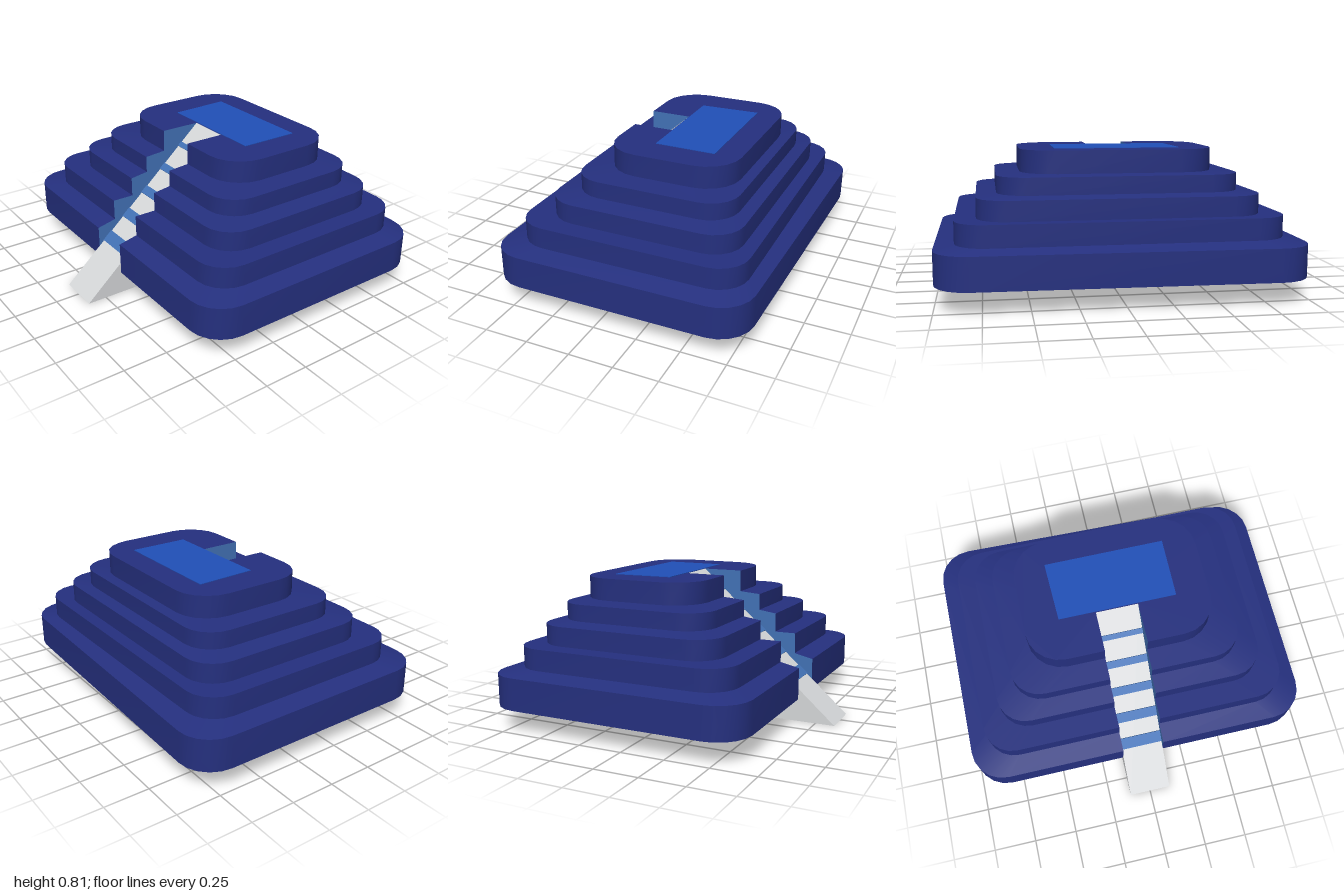
import * as THREE from 'three';
import { toCreasedNormals } from 'three/addons/utils/BufferGeometryUtils.js';

const SLOT = 0.122, SLOT_BACK = -0.055, BASE = 0.128, TOP = 0.81, RAMP_FRONT = 0.86;

// Footprints of the five terraces: half width, back z, front z, corner radius, skew of the back edge
const feet = [
  { w: 1.0, back: -0.842, front: 0.645, r: 0.19, skew: 0.024 },
  { w: 0.89, back: -0.755, front: 0.535, r: 0.17, skew: 0 },
  { w: 0.775, back: -0.68, front: 0.41, r: 0.17, skew: 0 },
  { w: 0.665, back: -0.612, front: 0.305, r: 0.17, skew: 0 },
  { w: 0.535, back: -0.555, front: 0.18, r: 0.2, skew: 0 },
];

// Each terrace has an upright wall and a ledge leading to the next one
const levels = [
  [0, BASE], [0, 0.31], [1, 0.335], [1, 0.455], [2, 0.455],
  [2, 0.565], [3, 0.58], [3, 0.675], [4, 0.685], [4, TOP],
];

// Rounded outline as [x, z], running from one lip of the slot around to the other
function outline({ w, back, front, r, skew }) {
  const pts = [[SLOT, front]];
  const corners = [[w - r, front - r], [w - r, back + r], [r - w, back + r], [r - w, front - r]];
  corners.forEach(([cx, cz], c) => {
    for (let i = 0; i <= 5; i++) {
      const a = Math.PI / 2 - (c + i / 5) * Math.PI / 2;
      const x = cx + r * Math.cos(a);
      const z = cz + r * Math.sin(a);
      pts.push([x, z + (c === 1 || c === 2 ? skew * x : 0)]);
    }
  });
  pts.push([-SLOT, front]);
  return pts;
}

// Open loft through all terrace levels
function terraceGeometry() {
  const pos = [], idx = [];
  const n = outline(feet[0]).length;
  levels.forEach(([f, y]) => outline(feet[f]).forEach(([x, z]) => pos.push(x, y, z)));
  for (let l = 0; l < levels.length - 1; l++) {
    for (let i = 0; i < n - 1; i++) {
      const a = l * n + i, b = a + 1, c = b + n, d = a + n;
      idx.push(a, b, c, a, c, d);
    }
  }
  const g = new THREE.BufferGeometry();
  g.setAttribute('position', new THREE.Float32BufferAttribute(pos, 3));
  g.setIndex(idx);
  return toCreasedNormals(g, 0.45);
}

const shapeOf = (pts) => new THREE.Shape(pts.map(([x, y]) => new THREE.Vector2(x, y)));

export function createModel() {
  const group = new THREE.Group();
  const material = (name, color, side = THREE.FrontSide) => {
    const m = new THREE.MeshStandardMaterial({ color, side });
    m.name = name;
    return m;
  };
  const navy = material('navy', 0x25307f);
  const grey = material('light grey', 0xd6d8da);
  const blue = material('bright blue', 0x2050b8);
  const steel = material('steel blue', 0x4272b6, THREE.DoubleSide);

  const add = (name, geometry, mat) => {
    const mesh = new THREE.Mesh(geometry, mat);
    mesh.name = name;
    group.add(mesh);
    return mesh;
  };

  // Stepped body
  add('terraces', terraceGeometry(), navy);

  // Roof with the slot cut into its front edge
  const roof = outline(feet[4]).concat([[-SLOT, SLOT_BACK], [SLOT, SLOT_BACK]]);
  add('roof', new THREE.ShapeGeometry(shapeOf(roof.map(([x, z]) => [x, -z]))).rotateX(-Math.PI / 2), navy)
    .position.y = TOP;

  // Underside
  add('underside', new THREE.ShapeGeometry(shapeOf(outline(feet[0]))).rotateX(Math.PI / 2), grey)
    .position.y = BASE;

  // Stepped side walls of the slot
  const wall = levels.map(([f, y]) => [feet[f].front, y]).concat([[SLOT_BACK, TOP], [SLOT_BACK, BASE]]);
  for (const s of [-1, 1]) {
    add(s > 0 ? 'leftSlotWall' : 'rightSlotWall',
      new THREE.ShapeGeometry(shapeOf(wall)).rotateY(-s * Math.PI / 2).scale(1, 1, s), steel)
      .position.x = s * SLOT;
  }

  // Wedge ramp filling the slot
  const rampShape = shapeOf([[RAMP_FRONT, 0], [SLOT_BACK, TOP], [SLOT_BACK, 0]]);
  const half = SLOT + 0.001;
  add('ramp', new THREE.ExtrudeGeometry(rampShape, { depth: half * 2, bevelEnabled: false })
    .rotateY(-Math.PI / 2).translate(half, 0, 0), grey);

  // Thin bands across the ramp
  const slope = TOP / (RAMP_FRONT - SLOT_BACK);
  const bands = [[0.615, 0.56], [0.48, 0.433], [0.346, 0.306], [0.212, 0.178], [0.08, 0.056]];
  for (const [z0, z1] of bands) {
    const length = (z0 - z1) * Math.hypot(1, slope);
    const band = add('rampBand', new THREE.BoxGeometry(SLOT * 2, 0.008, length), steel);
    const z = (z0 + z1) / 2;
    band.position.set(0, (RAMP_FRONT - z) * slope + 0.002, z);
    band.rotation.x = Math.atan(slope);
  }

  // Panel on the roof
  const panel = shapeOf([[-0.335, 0.06], [0.345, 0.06], [0.348, 0.408], [-0.348, 0.408]]);
  add('roofPanel', new THREE.ExtrudeGeometry(panel, { depth: 0.004, bevelEnabled: false })
    .rotateX(-Math.PI / 2), blue).position.y = TOP - 0.001;

  return group;
}
